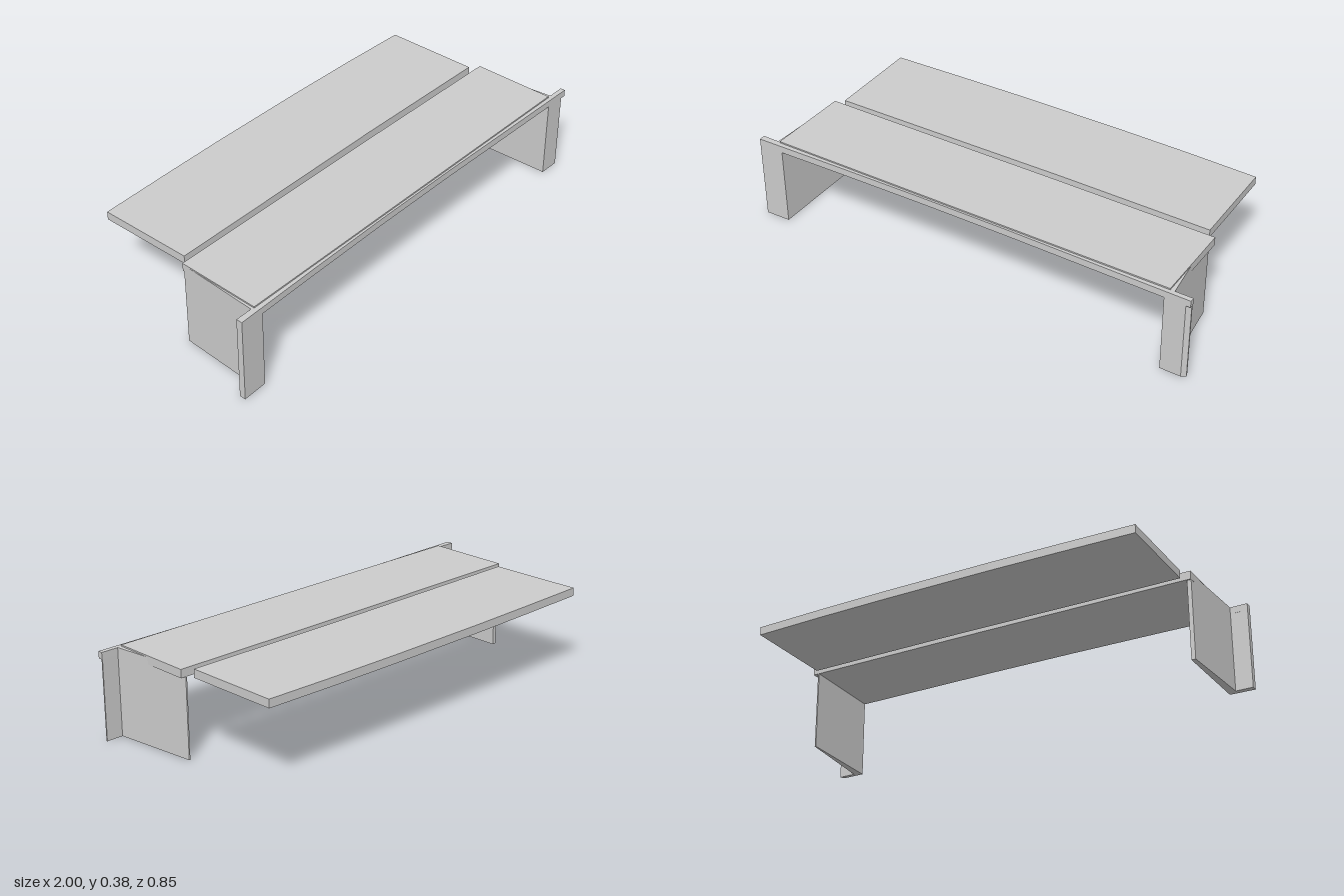
import * as THREE from 'three';

const material = new THREE.MeshStandardMaterial({ color: 0xcccccc, flatShading: true });

// Vertical prism from a plan outline of [x, z] points between two heights
function prism(name, plan, y0, y1) {
  const shape = new THREE.Shape(plan.map(([x, z]) => new THREE.Vector2(x, -z)));
  const geometry = new THREE.ExtrudeGeometry(shape, { depth: y1 - y0, bevelEnabled: false });
  geometry.rotateX(-Math.PI / 2).translate(0, y0, 0);
  const mesh = new THREE.Mesh(geometry, material);
  mesh.name = name;
  return mesh;
}

export function createModel() {
  const group = new THREE.Group();
  const under = 0.345, top = 0.381, lintelTop = 0.375;

  // Roof slabs, the rear one with a gently bowed back edge
  group.add(prism('rearRoofSlab', [
    [-0.875, 0.006], [-0.88, -0.412], [-0.55, -0.42], [-0.25, -0.425], [0.22, -0.425],
    [0.55, -0.42], [0.863, -0.41], [0.867, 0.006], [0.2, 0.0],
  ], under, top));
  group.add(prism('frontRoofSlab', [
    [-0.909, 0.031], [0.2, 0.031], [0.905, 0.036], [0.905, 0.402], [-0.913, 0.402],
  ], under, top));

  // Slightly bowed lintel across the front
  group.add(prism('frontLintel', [
    [-1, 0.397], [1, 0.4], [1, 0.421], [0.6, 0.416], [0.2, 0.411],
    [-0.2, 0.411], [-0.6, 0.416], [-1, 0.424],
  ], under, lintelTop));

  // Tapering side walls
  group.add(prism('leftWall', [
    [0.876, 0.037], [0.882, 0.037], [0.924, 0.402], [0.889, 0.402],
  ], 0, lintelTop));
  group.add(prism('rightWall', [
    [-0.89, 0.037], [-0.908, 0.037], [-0.925, 0.402], [-0.89, 0.402],
  ], 0, lintelTop));

  // Front posts, the left one with a chamfered outer corner
  group.add(prism('leftPost', [
    [0.889, 0.4], [0.998, 0.4], [0.998, 0.406], [0.98, 0.419], [0.889, 0.418],
  ], 0, under));
  group.add(prism('rightPost', [
    [-0.89, 0.398], [-1, 0.397], [-1, 0.424], [-0.89, 0.421],
  ], 0, under));

  return group;
}
